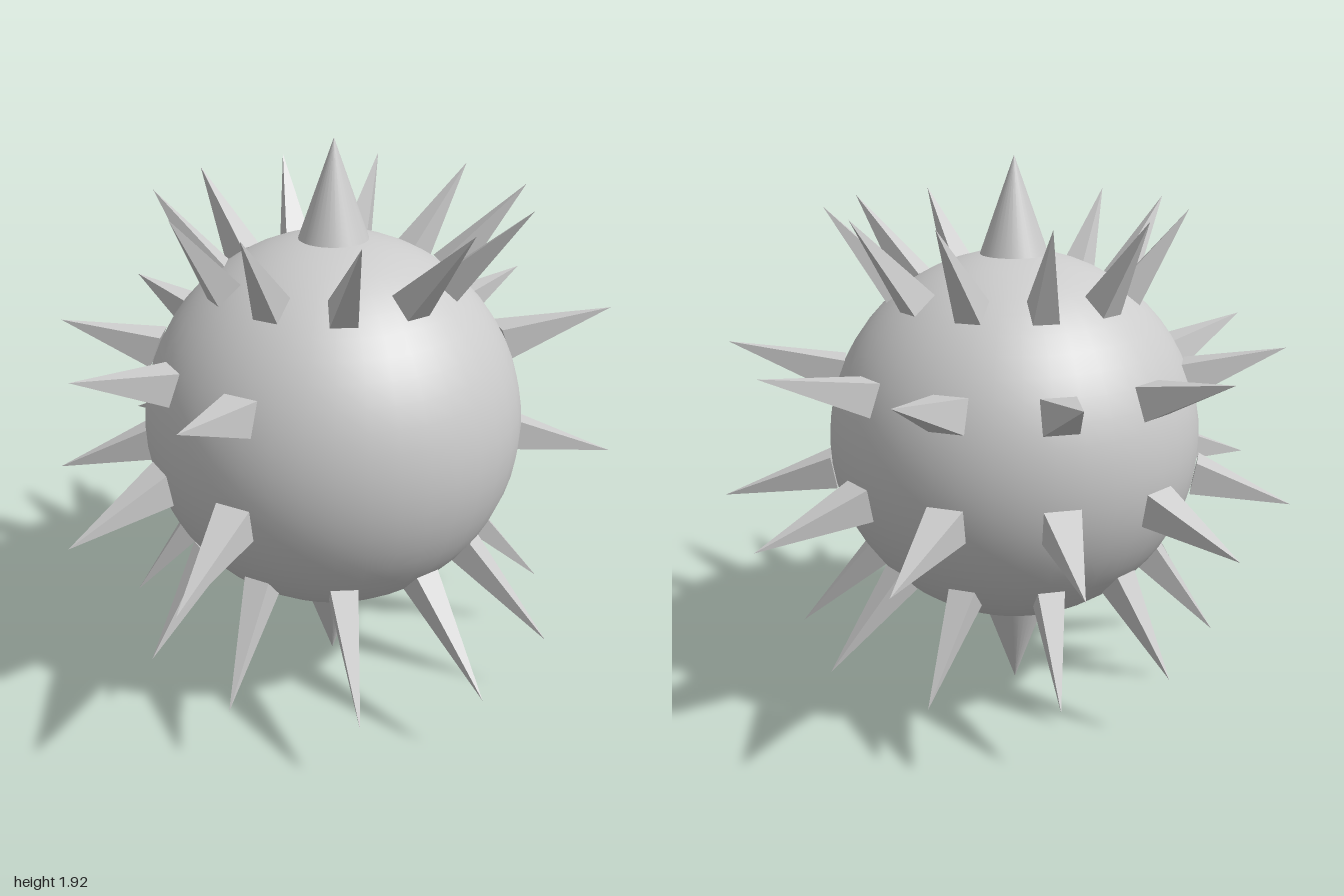
import * as THREE from 'three';

const CENTRE = new THREE.Vector3(0, 0.9625, 0.053);
const RADIUS = 0.642;
const SPIKES = 11; // spikes in a full ring
const TIP_SHIFT = 0.053; // tips lean forward of their bases

// e: elevation of the base, w/h: base size, tipR/tipY: tip circle, gap: front left bare
const RINGS = [
  { name: 'upperSpike', e: 52.3, w: 0.086, h: 0.098, tipR: 0.61, tipY: 1.75, gap: false },
  { name: 'upperMiddleSpike', e: 21.3, w: 0.116, h: 0.114, tipR: 0.95, tipY: 1.3, gap: true },
  { name: 'lowerMiddleSpike', e: -10, w: 0.12, h: 0.114, tipR: 1.0, tipY: 0.745, gap: true },
  { name: 'lowerSpike', e: -41, w: 0.09, h: 0.098, tipR: 0.752, tipY: 0.245, gap: false },
];

// Four-sided pyramid from a rectangle on the ball to a tip
function spikeGeometry(ring, azimuth, tipShift) {
  const e = THREE.MathUtils.degToRad(ring.e);
  const out = new THREE.Vector3(
    Math.sin(azimuth) * Math.cos(e), Math.sin(e), Math.cos(azimuth) * Math.cos(e));
  const across = new THREE.Vector3(Math.cos(azimuth), 0, -Math.sin(azimuth));
  const up = out.clone().cross(across);
  const base = CENTRE.clone().addScaledVector(out, RADIUS);
  const corners = [[-1, -1], [1, -1], [1, 1], [-1, 1]].map(([i, j]) =>
    base.clone().addScaledVector(across, i * ring.w / 2).addScaledVector(up, j * ring.h / 2));
  const tip = new THREE.Vector3(
    Math.sin(azimuth) * ring.tipR, ring.tipY,
    CENTRE.z + tipShift + Math.cos(azimuth) * ring.tipR);

  const points = [];
  for (let i = 0; i < 4; i++) points.push(corners[i], corners[(i + 1) % 4], tip);
  points.push(corners[0], corners[2], corners[1], corners[0], corners[3], corners[2]);
  const geometry = new THREE.BufferGeometry().setFromPoints(points);
  geometry.computeVertexNormals();
  return geometry;
}

export function createModel() {
  const model = new THREE.Group();
  model.name = 'spikedBall';
  const smooth = new THREE.MeshStandardMaterial({ color: 0xcccccc });
  const flat = new THREE.MeshStandardMaterial({ color: 0xcccccc, flatShading: true });

  // Round body
  const ball = new THREE.Mesh(new THREE.SphereGeometry(RADIUS, 40, 28), smooth);
  ball.name = 'ball';
  ball.position.copy(CENTRE);
  model.add(ball);

  // Round spikes at the two poles
  const baseHeight = 0.632;
  const length = CENTRE.y - baseHeight;
  for (const side of [1, -1]) {
    const cone = new THREE.Mesh(new THREE.ConeGeometry(0.118, length, 32), smooth);
    cone.name = side > 0 ? 'topSpike' : 'bottomSpike';
    cone.position.copy(CENTRE);
    cone.position.y += side * (baseHeight + length / 2 - (side > 0 ? 0.008 : 0));
    if (side < 0) cone.rotation.x = Math.PI;
    model.add(cone);
  }

  // Rings of square spikes; the middle two leave the front bare
  for (const ring of RINGS) {
    const group = new THREE.Group();
    group.name = ring.name + 'Ring';
    for (let i = -5; i <= 5; i++) {
      if (ring.gap && Math.abs(i) < 2) continue;
      const shift = TIP_SHIFT + (i === -3 ? 0.03 : 0); // right-hand side spikes lean a little more
      const spike = new THREE.Mesh(spikeGeometry(ring, i * 2 * Math.PI / SPIKES, shift), flat);
      spike.name = ring.name;
      group.add(spike);
    }
    model.add(group);
  }
  return model;
}
